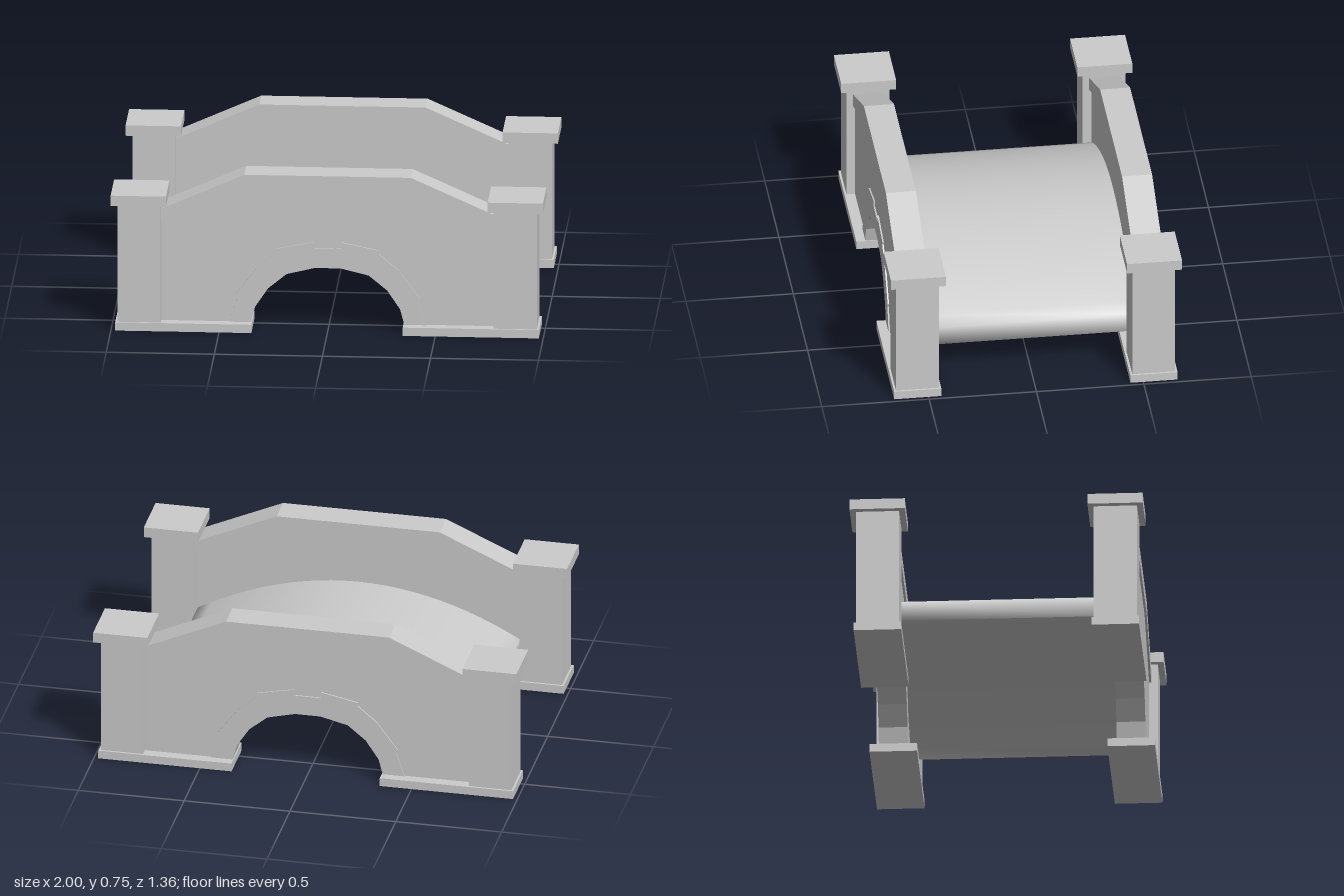
import * as THREE from 'three';
import { mergeVertices } from 'three/addons/utils/BufferGeometryUtils.js';

const mat = new THREE.MeshStandardMaterial({ color: 0xcccccc });
const deckMat = new THREE.MeshStandardMaterial({ color: 0xcccccc, side: THREE.DoubleSide });
const SIDE_Z = 0.55; // centre line of each parapet

function mesh(name, geometry, material = mat) {
  const m = new THREE.Mesh(geometry, material);
  m.name = name;
  return m;
}

function box(name, w, h, d, x, yBottom) {
  const m = mesh(name, new THREE.BoxGeometry(w, h, d));
  m.position.set(x, yBottom + h / 2, 0);
  return m;
}

// Left half of an outline, followed by its mirror image
const mirrored = half => [...half, ...half.map(([x, y]) => [-x, y]).reverse()];

// Slab with the given outline, centred on z = 0
function slab(name, outline, depth) {
  const shape = new THREE.Shape(outline.map(p => new THREE.Vector2(...p)));
  const g = new THREE.ExtrudeGeometry(shape, { depth, bevelEnabled: false });
  return mesh(name, g.translate(0, 0, -depth / 2));
}

// Faceted arch opening and the stepped outer edge of its stones
const intrados = mirrored([[-0.355, 0.04], [-0.335, 0.115], [-0.275, 0.205], [-0.19, 0.275], [-0.06, 0.307]]);
const extrados = mirrored([
  [-0.457, 0.04], [-0.418, 0.155], [-0.425, 0.172], [-0.325, 0.305], [-0.235, 0.38],
  [-0.24, 0.395], [-0.063, 0.432], [-0.063, 0.402],
]);
const copingTop = mirrored([[-0.77, 0.58], [-0.385, 0.752]]);
const copingBottom = mirrored([[-0.77, 0.515], [-0.385, 0.685]]);

// One parapet: wall, arch stones, coping, and a post with footing at each end
function parapet(name) {
  const g = new THREE.Group();
  g.name = name;
  const opening = [...intrados].reverse();
  g.add(slab('wall', [[-0.77, 0.04], ...copingBottom, [0.77, 0.04], ...opening], 0.12));
  g.add(slab('archStones', [...extrados, ...opening], 0.134));
  g.add(slab('coping', [...copingTop, ...[...copingBottom].reverse()], 0.14));
  for (const s of [-1, 1]) {
    g.add(box('footing', 0.63, 0.04, 0.22, s * 0.665, 0));
    g.add(box('post', 0.2, 0.57, 0.2, s * 0.87, 0.04));
    g.add(box('postCap', 0.256, 0.05, 0.256, s * 0.872, 0.607));
  }
  return g;
}

// Curved walkway: a closed profile (top, end, underside, end) swept between the parapets
function deck() {
  const n = 24, half = 0.76, profile = [];
  const top = x => 0.45 - 0.215 * (x / half) ** 2;
  for (let i = 0; i <= n; i++) {
    const x = half * (1 - 2 * i / n);
    profile.push([x, top(x)]);
  }
  for (let i = n; i >= 0; i--) {
    const x = half * (1 - 2 * i / n);
    profile.push([x, top(x) - 0.09]);
  }
  profile.push(profile[0]);

  const g = new THREE.PlaneGeometry(1, 1, profile.length - 1, 1);
  const pos = g.attributes.position;
  for (let i = 0; i < pos.count; i++) {
    const [x, y] = profile[i % profile.length];
    pos.setXYZ(i, x, y, i < profile.length ? 0.5 : -0.5);
  }
  // Reverse the winding so the faces point outward
  const idx = g.index;
  for (let i = 0; i < idx.count; i += 3) {
    const a = idx.getX(i);
    idx.setX(i, idx.getX(i + 1));
    idx.setX(i + 1, a);
  }
  g.deleteAttribute('uv');
  g.deleteAttribute('normal');
  const smooth = mergeVertices(g);
  smooth.computeVertexNormals();
  return mesh('deck', smooth, deckMat);
}

export function createModel() {
  const bridge = new THREE.Group();
  bridge.name = 'bridge';
  const front = parapet('frontParapet');
  front.position.z = SIDE_Z;
  const back = parapet('backParapet');
  back.position.z = -SIDE_Z;
  bridge.add(front, back, deck());
  return bridge;
}
